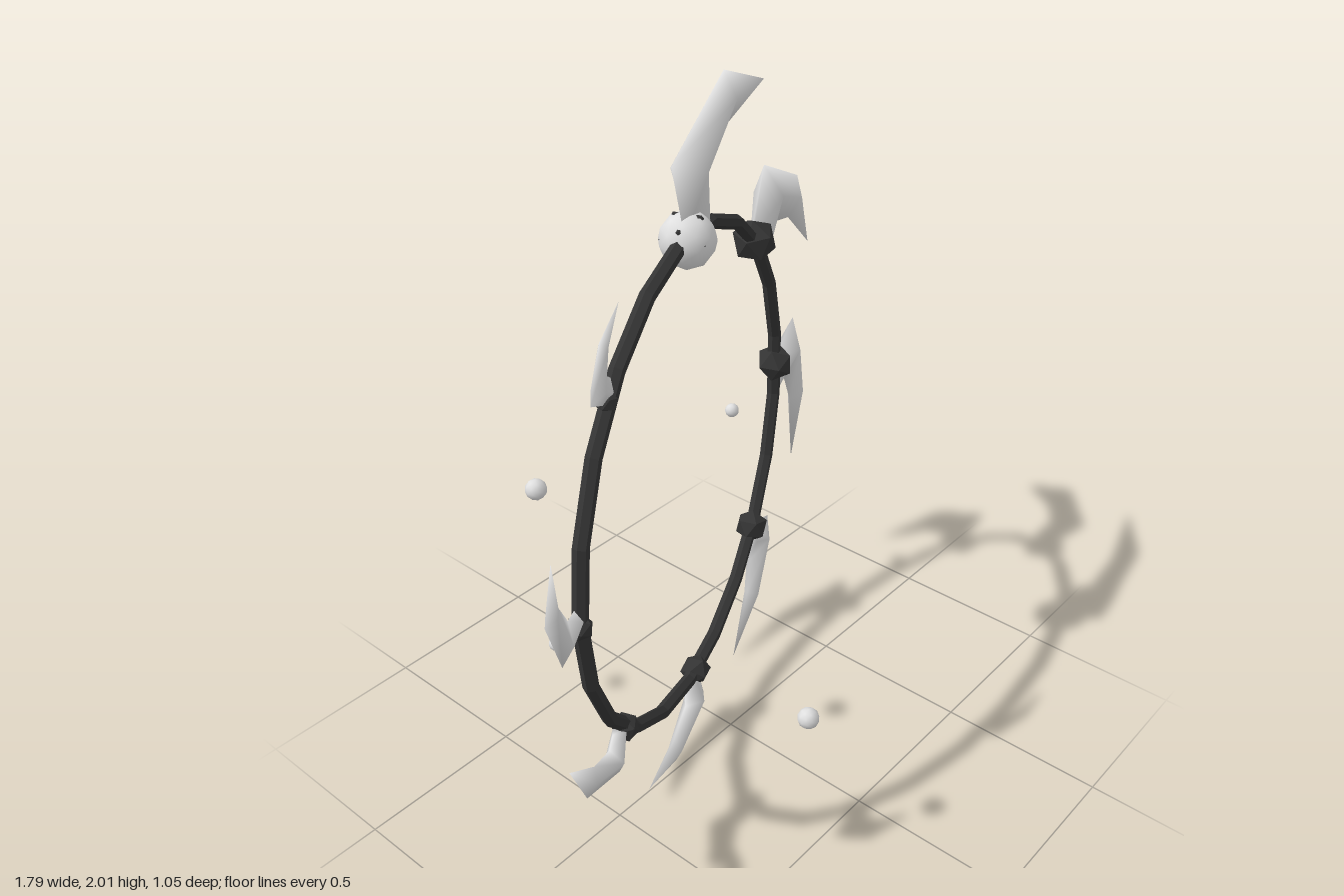
import * as THREE from 'three';

const bone = new THREE.MeshStandardMaterial({ name: 'pale bone', color: 0xe0e0e0 });
const iron = new THREE.MeshStandardMaterial({ name: 'dark iron', color: 0x343434, flatShading: true });

// Curved blade: diamond cross-sections swept from root to tip (x outward, y along the ring)
function clawGeometry() {
  // outer x, y, inner x, y, half thickness
  const sections = [
    [0.0, 0.015, 0.042, -0.12, 0.03],
    [0.178, 0.078, 0.1, -0.11, 0.042],
    [0.29, -0.213, 0.168, -0.228, 0.028],
  ];
  const pos = [], index = [];
  for (const [ox, oy, ix, iy, w] of sections) {
    const mx = (ox + ix) / 2, my = (oy + iy) / 2;
    pos.push(ox, oy, 0, mx, my, w, ix, iy, 0, mx, my, -w);
  }
  const tip = pos.length / 3;
  pos.push(0.2, -0.47, 0);
  for (let k = 0; k < 4; k++) {
    const n = (k + 1) % 4;
    for (let s = 0; s < sections.length - 1; s++) {
      const a = s * 4, b = a + 4;
      index.push(a + k, a + n, b + n, a + k, b + n, b + k);
    }
    index.push(tip - 4 + k, tip - 4 + n, tip);
  }
  index.push(0, 2, 1, 0, 3, 2); // root cap
  const g = new THREE.BufferGeometry();
  g.setAttribute('position', new THREE.Float32BufferAttribute(pos, 3));
  g.setIndex(index);
  g.computeVertexNormals();
  return g;
}

function addMesh(parent, name, geometry, material) {
  const m = new THREE.Mesh(geometry, material);
  m.name = name;
  parent.add(m);
  return m;
}

export function createModel() {
  const model = new THREE.Group();
  model.name = 'clawedRing';

  // Ring assembly, turned about the vertical axis
  const R = 0.713;
  const wheel = new THREE.Group();
  wheel.name = 'wheel';
  wheel.position.set(-0.07, 0.945, -0.083);
  wheel.rotation.y = Math.PI / 9;
  model.add(wheel);

  const ring = addMesh(wheel, 'ring', new THREE.TorusGeometry(R, 0.021, 6, 21), iron);
  ring.rotation.z = Math.PI;

  // Eight knots with claws, growing around the ring
  const claw = clawGeometry();
  const knot = new THREE.IcosahedronGeometry(0.061, 0);
  for (let i = 0; i < 8; i++) {
    const spoke = new THREE.Group();
    spoke.name = 'spoke' + (i + 1);
    const a = (0.75 + i * 0.25) * Math.PI;
    spoke.position.set(R * Math.cos(a), R * Math.sin(a), 0);
    spoke.rotation.z = a;
    spoke.scale.setScalar(0.46 + 0.108 * i);
    addMesh(spoke, 'claw', claw, bone);
    addMesh(spoke, 'knot', knot, iron);
    wheel.add(spoke);
  }

  // Pale gem around the largest knot, whose corners just break through
  const gem = addMesh(wheel, 'topGem', new THREE.IcosahedronGeometry(0.077, 1), bone);
  gem.position.set(0, R - 0.006, 0);
  gem.rotation.set(0.5, 0.4, 0.3);

  // Floating beads
  const beads = [
    [-0.545, 1.09, -0.19, 0.029],
    [-0.26, 0.515, 0.492, 0.03],
    [-0.263, 0.23, -0.5, 0.024],
    [0.46, 0.805, -0.388, 0.023],
  ];
  for (const [x, y, z, r] of beads) {
    addMesh(model, 'bead', new THREE.IcosahedronGeometry(r, 1), bone).position.set(x, y, z);
  }
  return model;
}
